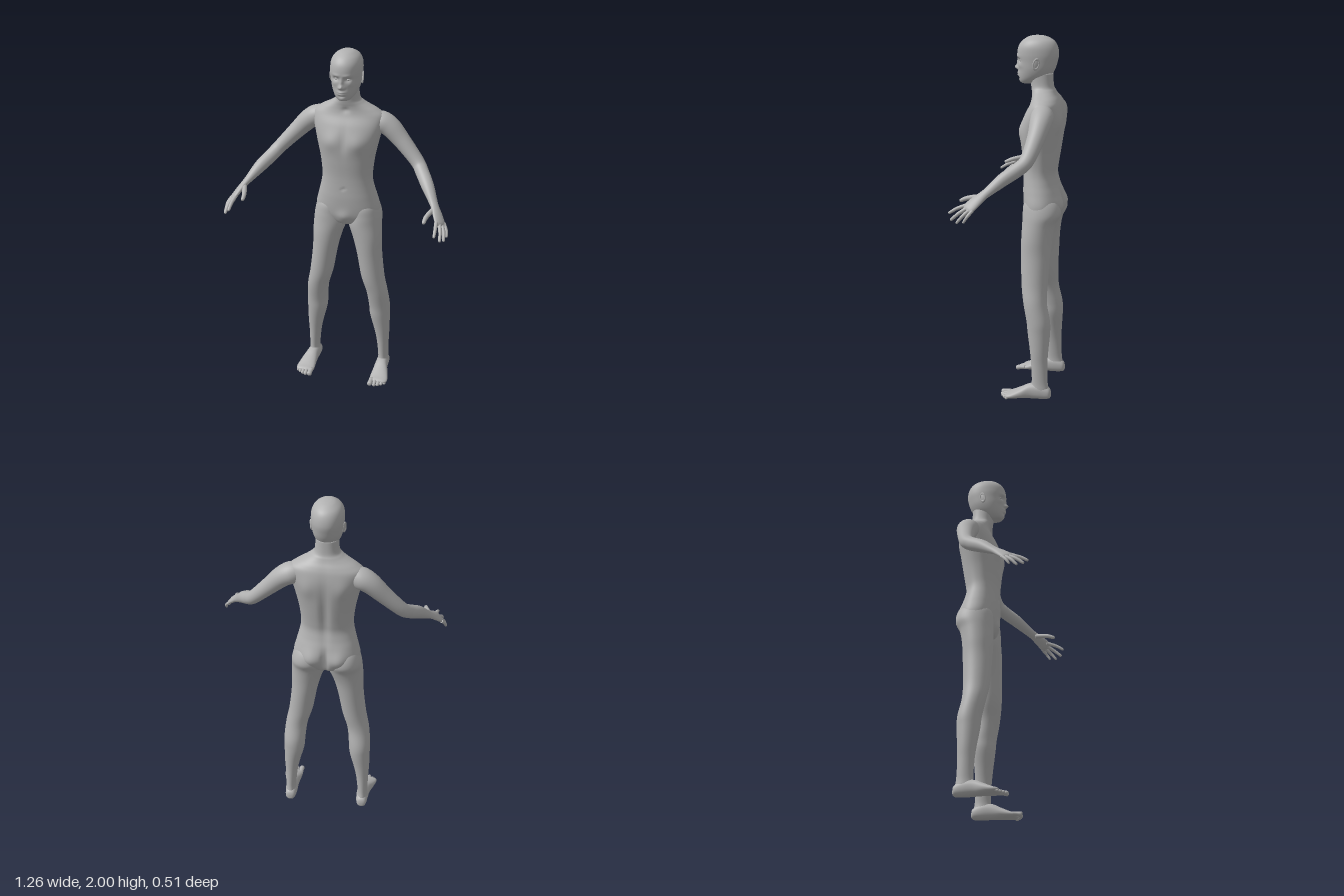
import * as THREE from 'three';

const skin = new THREE.MeshStandardMaterial({ color: 0xb2b2b2 });
skin.name = 'grey skin';

const X = new THREE.Vector3(1, 0, 0), Y = new THREE.Vector3(0, 1, 0), Z = new THREE.Vector3(0, 0, 1);

// Ring directions: level rings, upright rings, or rings square to the path with their width along ref
const level = () => [X, Z];
const upright = () => [X, Y];
const square = (ref) => (t) => {
  const v = t.clone().cross(ref).normalize();
  return [v.clone().cross(t).normalize(), v];
};

// Smooth curve through stations [x, y, z, halfWidth, halfDepth]
function sample(stations, f) {
  const last = stations.length - 1;
  const i = Math.min(Math.floor(f * last), last - 1), t = f * last - i;
  const p = (k) => stations[Math.max(0, Math.min(last, k))];
  return stations[0].map((_, c) => {
    const a = p(i - 1)[c], b = p(i)[c], d = p(i + 1)[c], e = p(i + 2)[c];
    return b + 0.5 * t * (d - a + t * (2 * a - 5 * b + 4 * d - e + t * (3 * (b - d) + e - a)));
  });
}

// Closed skin over rings along the stations; power above 2 makes rings squarer
function loft(stations, frame, seg = 24, steps = 40, power = 2) {
  const pos = [], index = [];
  const round = (v) => Math.sign(v) * Math.abs(v) ** (2 / power);
  for (let r = 0; r <= steps; r++) {
    const f = r / steps, s = sample(stations, f);
    const q0 = sample(stations, Math.max(0, f - 0.01)), q1 = sample(stations, Math.min(1, f + 0.01));
    const t = new THREE.Vector3(q1[0] - q0[0], q1[1] - q0[1], q1[2] - q0[2]).normalize();
    const [u, v] = frame(t);
    const turn = u.clone().cross(v).dot(t) < 0 ? -1 : 1;
    for (let k = 0; k < seg; k++) {
      const a = (k / seg) * Math.PI * 2;
      const p = new THREE.Vector3(s[0], s[1], s[2])
        .addScaledVector(u, Math.max(s[3], 0.001) * round(Math.cos(a)))
        .addScaledVector(v, Math.max(s[4], 0.001) * round(Math.sin(a)) * turn);
      pos.push(p.x, p.y, p.z);
      if (r < steps) {
        const i = r * seg + k, j = r * seg + (k + 1) % seg;
        index.push(i, j, j + seg, i, j + seg, i + seg);
      }
    }
  }
  const c0 = pos.length / 3, end = steps * seg;
  pos.push(...stations[0].slice(0, 3), ...stations[stations.length - 1].slice(0, 3));
  for (let k = 0; k < seg; k++) {
    const n = (k + 1) % seg;
    index.push(c0, n, k, c0 + 1, end + k, end + n);
  }
  const g = new THREE.BufferGeometry();
  g.setAttribute('position', new THREE.Float32BufferAttribute(pos, 3));
  g.setIndex(index);
  g.computeVertexNormals();
  return g;
}

// Soft swellings and hollows [x, y, amount, spreadX, spreadY], same on both sides of x = 0
function sculpt(g, midZ, face, bumps) {
  const p = g.attributes.position;
  for (let i = 0; i < p.count; i++) {
    const x = Math.abs(p.getX(i)), y = p.getY(i), z = p.getZ(i);
    const w = THREE.MathUtils.smoothstep((z - midZ) * face, 0, 0.06);
    let d = 0;
    for (const [bx, by, amount, sx, sy] of bumps) {
      d += amount * Math.exp(-(((x - bx) / sx) ** 2) - ((y - by) / sy) ** 2);
    }
    p.setZ(i, z + d * w * face);
  }
  g.computeVertexNormals();
  return g;
}

// Station from height, front z, back z, half width and centre x
const slice = (y, front, back, rx, x = 0) => [x, y, (front + back) / 2, rx, (front - back) / 2];

export function createModel() {
  const model = new THREE.Group();
  model.name = 'figure';
  const add = (name, geometry, parent = model) => {
    const m = new THREE.Mesh(geometry, skin);
    m.name = name;
    parent.add(m);
    return m;
  };

  // Trunk, from crotch to neck
  const trunk = loft([
    slice(0.975, -0.09, -0.16, 0.02), slice(0.99, -0.05, -0.2, 0.08), slice(1.03, -0.034, -0.225, 0.17),
    slice(1.08, -0.025, -0.235, 0.183), slice(1.15, -0.02, -0.226, 0.167), slice(1.2, -0.02, -0.212, 0.154),
    slice(1.25, -0.02, -0.202, 0.144), slice(1.3, -0.018, -0.207, 0.143), slice(1.38, -0.01, -0.22, 0.152),
    slice(1.45, -0.005, -0.23, 0.166), slice(1.52, -0.012, -0.236, 0.182), slice(1.58, -0.032, -0.236, 0.195),
    slice(1.63, -0.058, -0.228, 0.195), slice(1.66, -0.066, -0.216, 0.16), slice(1.685, -0.066, -0.2, 0.115),
    slice(1.705, -0.062, -0.19, 0.084), slice(1.73, -0.057, -0.18, 0.065), slice(1.8, -0.045, -0.175, 0.06),
  ], level, 80, 100, 2.25);
  sculpt(trunk, -0.12, 1, [
    [0.075, 1.49, 0.012, 0.05, 0.045], [0, 1.5, -0.006, 0.018, 0.07], [0, 1.215, -0.006, 0.008, 0.009],
    [0, 1.04, 0.012, 0.035, 0.035], [0, 1.665, -0.008, 0.018, 0.016],
  ]);
  sculpt(trunk, -0.13, -1, [
    [0.08, 1.085, 0.022, 0.05, 0.055], [0, 1.06, -0.028, 0.014, 0.07],
    [0, 1.38, -0.014, 0.022, 0.18], [0.095, 1.54, 0.01, 0.045, 0.06],
  ]);
  add('trunk', trunk);

  // Head with modelled face
  const head = loft([
    slice(1.738, -0.02, -0.07, 0.018), slice(1.743, -0.002, -0.09, 0.034), slice(1.76, 0.007, -0.125, 0.052),
    slice(1.785, 0.011, -0.165, 0.067), slice(1.82, 0.012, -0.187, 0.078), slice(1.86, 0.015, -0.2, 0.083),
    slice(1.9, 0.02, -0.207, 0.086), slice(1.94, 0.013, -0.2, 0.083), slice(1.97, -0.008, -0.182, 0.069),
    slice(1.99, -0.038, -0.15, 0.044), slice(1.998, -0.063, -0.122, 0.022), slice(2.0, -0.09, -0.094, 0.002),
  ], level, 112, 100, 2.1);
  sculpt(head, -0.08, 1, [
    [0, 1.825, 0.021, 0.012, 0.012], [0, 1.85, 0.01, 0.009, 0.022], [0.013, 1.82, 0.007, 0.007, 0.007],
    [0.033, 1.866, -0.012, 0.017, 0.011], [0.03, 1.888, 0.004, 0.022, 0.008], [0.048, 1.838, 0.004, 0.016, 0.014],
    [0, 1.79, 0.012, 0.022, 0.014], [0, 1.789, -0.006, 0.022, 0.003], [0, 1.772, -0.004, 0.018, 0.005],
    [0, 1.755, 0.005, 0.018, 0.01],
  ]);
  add('head', head);

  for (const s of [1, -1]) {
    const side = s > 0 ? 'left' : 'right';
    const flip = (rows) => rows.map(([x, ...rest]) => [x * s, ...rest]);

    // Eye and ear
    const eye = add(side + 'Eye', new THREE.SphereGeometry(0.011, 20, 14));
    eye.position.set(0.033 * s, 1.866, -0.008);
    eye.scale.set(1.1, 0.65, 1);
    const ear = new THREE.Group();
    ear.name = side + 'Ear';
    ear.position.set(0.086 * s, 1.852, -0.1);
    ear.rotation.set(-0.2, 0.35 * s, 0);
    const rim = add('earRim', new THREE.TorusGeometry(0.015, 0.0045, 10, 28), ear);
    rim.rotation.y = Math.PI / 2;
    rim.scale.y = 1.75;
    const bowl = add('earBowl', new THREE.SphereGeometry(0.015, 18, 12), ear);
    bowl.scale.set(0.25, 1.7, 1);
    model.add(ear);

    // Leg from hip to ankle
    add(side + 'Leg', loft(flip([
      slice(1.15, -0.08, -0.18, 0.05, 0.095), slice(1.1, -0.04, -0.228, 0.078, 0.097),
      slice(1.04, -0.032, -0.242, 0.092, 0.1), slice(0.98, -0.03, -0.216, 0.096, 0.101),
      slice(0.9, -0.028, -0.2, 0.084, 0.117), slice(0.8, -0.03, -0.192, 0.072, 0.131),
      slice(0.65, -0.037, -0.183, 0.067, 0.153), slice(0.55, -0.052, -0.183, 0.062, 0.177),
      slice(0.45, -0.072, -0.203, 0.061, 0.188), slice(0.38, -0.08, -0.205, 0.058, 0.191),
      slice(0.28, -0.095, -0.198, 0.045, 0.203), slice(0.2, -0.104, -0.195, 0.035, 0.209),
      slice(0.1, -0.108, -0.198, 0.029, 0.213), slice(0.05, -0.1, -0.205, 0.031, 0.213),
      slice(0.02, -0.12, -0.19, 0.02, 0.213),
    ]), level, 40, 80));

    // Foot: [x, middle y, z, half width, half height], heel to ball
    add(side + 'Foot', loft(flip([
      [0.212, 0.03, -0.216, 0.01, 0.012], [0.212, 0.036, -0.205, 0.027, 0.03], [0.212, 0.044, -0.16, 0.034, 0.043],
      [0.215, 0.044, -0.1, 0.037, 0.043], [0.221, 0.033, -0.05, 0.046, 0.031], [0.225, 0.021, 0, 0.053, 0.019],
      [0.225, 0.017, 0.025, 0.05, 0.014], [0.224, 0.016, 0.037, 0.035, 0.007],
    ]), upright, 32, 40, 2.3));
    [[0.186, 0.072, 0.015], [0.211, 0.07, 0.0105], [0.231, 0.062, 0.01], [0.249, 0.05, 0.0095], [0.265, 0.036, 0.009]]
      .forEach(([x, z, r], i) => add(side + 'Toe' + (i + 1), loft(flip([
        [x, 0.02, z - 0.055, r * 0.9, r * 0.8], [x, 0.018, z - 0.03, r * 0.9, r * 0.8],
        [x, r, z - 0.01, r, r * 0.95], [x, r, z - 0.002, r * 0.7, r * 0.65], [x, r, z, r * 0.1, r * 0.1],
      ]), upright, 14, 16)));

    // Arm from shoulder to knuckles, its width turning along the row of knuckles
    const across = square(new THREE.Vector3(0.6 * s, -0.4, -0.69));
    add(side + 'Arm', loft(flip([
      [0.11, 1.605, -0.15, 0.035, 0.04], [0.175, 1.59, -0.155, 0.06, 0.058], [0.23, 1.56, -0.155, 0.059, 0.056],
      [0.3, 1.49, -0.145, 0.048, 0.047], [0.392, 1.392, -0.118, 0.039, 0.038], [0.43, 1.35, -0.078, 0.037, 0.037],
      [0.477, 1.303, -0.01, 0.035, 0.034], [0.522, 1.249, 0.055, 0.027, 0.022], [0.54, 1.228, 0.082, 0.027, 0.018],
      [0.562, 1.2, 0.115, 0.034, 0.016], [0.583, 1.17, 0.146, 0.036, 0.013], [0.591, 1.16, 0.157, 0.024, 0.006],
    ]), across, 32, 72));

    // Fingers and thumb: knuckle, middle joint, tip, thickness
    [
      ['Thumb', [0.535, 1.222, 0.095], [0.512, 1.207, 0.165], [0.506, 1.188, 0.213], 0.0125],
      ['IndexFinger', [0.565, 1.183, 0.155], [0.571, 1.163, 0.21], [0.574, 1.135, 0.256], 0.0095],
      ['MiddleFinger', [0.578, 1.174, 0.146], [0.595, 1.143, 0.195], [0.602, 1.106, 0.238], 0.0098],
      ['RingFinger', [0.59, 1.166, 0.135], [0.61, 1.132, 0.172], [0.617, 1.094, 0.205], 0.0092],
      ['LittleFinger', [0.6, 1.161, 0.122], [0.62, 1.13, 0.147], [0.625, 1.1, 0.166], 0.0082],
    ].forEach(([name, a, b, c, r]) => {
      const near = c.map((v, i) => v + (b[i] - v) * 0.12);
      add(side + name, loft(flip([
        [...a, r * 1.15, r * 1.1], [...b, r, r], [...near, r * 0.75, r * 0.75], [...c, r * 0.15, r * 0.15],
      ]), across, 14, 24));
    });
  }
  return model;
}
